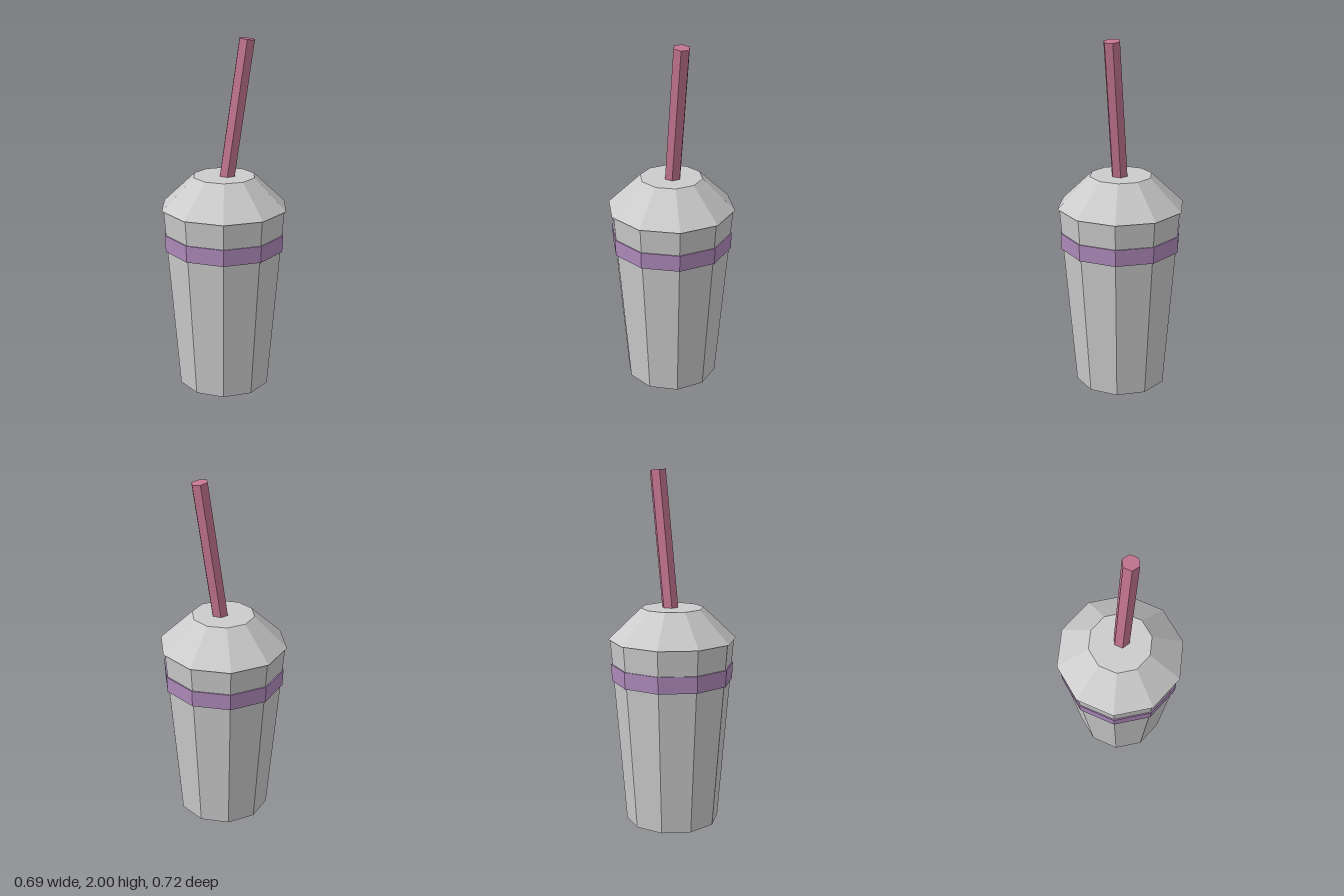
import * as THREE from 'three';

const material = (color) => new THREE.MeshStandardMaterial({ color, flatShading: true });

// Faceted tapered prism standing between two heights, with a corner facing +z
function taper(name, rTop, rBottom, y0, y1, sides, mat) {
  const geometry = new THREE.CylinderGeometry(rTop, rBottom, y1 - y0, sides);
  geometry.translate(0, (y0 + y1) / 2, 0);
  const mesh = new THREE.Mesh(geometry, mat);
  mesh.name = name;
  return mesh;
}

export function createModel() {
  const group = new THREE.Group();
  group.name = 'drinkCup';
  const grey = material(0xcccccc);
  const purple = material(0xae8abb);
  const pink = material(0xc4758f);

  // Ten-sided cup, its raised band and the overhanging lid
  group.add(
    taper('cup', 0.351, 0.265, 0, 1.063, 10, grey),
    taper('band', 0.346, 0.342, 0.825, 0.92, 10, purple),
    taper('lid', 0.176, 0.361, 1.063, 1.24, 10, grey)
  );

  // Six-sided straw leaning towards +x, its foot sunk into the lid
  const straw = taper('straw', 0.047, 0.047, 0, 0.87, 6, pink);
  straw.rotation.z = -0.138;
  straw.position.set(0.003, 1.132, 0);
  group.add(straw);

  return group;
}
